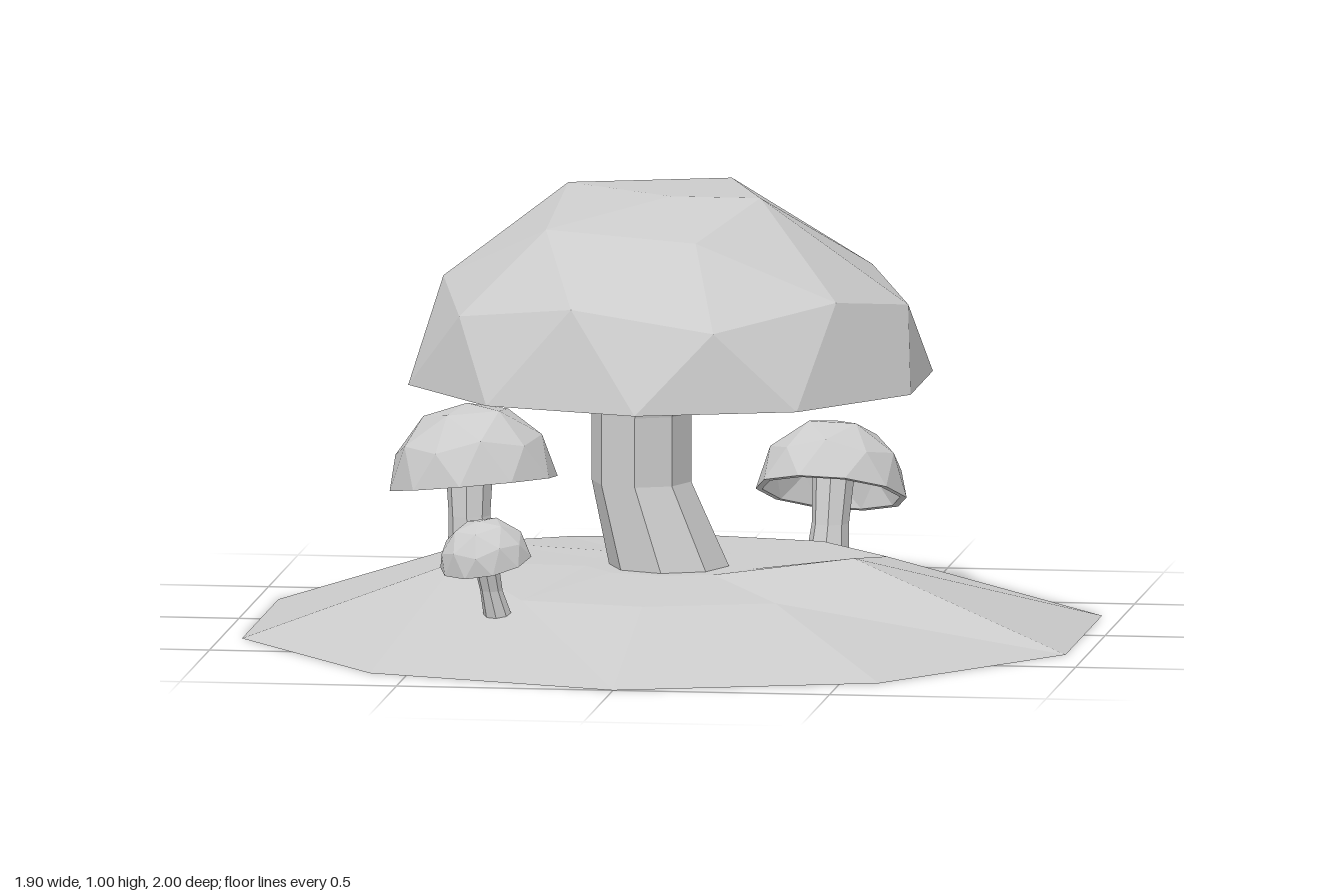
import * as THREE from 'three';

const material = new THREE.MeshStandardMaterial({ color: 0xcccccc, flatShading: true, side: THREE.DoubleSide });

function meshFrom(name, triangles) {
  const geometry = new THREE.BufferGeometry().setFromPoints(triangles);
  geometry.computeVertexNormals();
  const mesh = new THREE.Mesh(geometry, material);
  mesh.name = name;
  return mesh;
}

// point on a circle, angle in degrees from +x towards +z
function polar(r, degrees, y) {
  const a = THREE.MathUtils.degToRad(degrees);
  return new THREE.Vector3(r * Math.cos(a), y, r * Math.sin(a));
}

const ring = (count, fn) => Array.from({ length: count }, (_, i) => fn(i));

// joins two loops of equal length, lower loop first
function band(lower, upper) {
  const out = [];
  lower.forEach((p, i) => {
    const j = (i + 1) % lower.length;
    out.push(p, upper[i], upper[j], p, upper[j], lower[j]);
  });
  return out;
}

// closes a loop with triangles to one point above it
function fan(loop, top) {
  return loop.flatMap((p, i) => [p, top, loop[(i + 1) % loop.length]]);
}

// faceted half-sphere: pole, 5 points, 10 points, 10 rim points
function dome(r, h, crownH, crownR) {
  const pole = new THREE.Vector3(0, h, 0);
  const crown = ring(5, k => polar(r * crownR[k], 72 * k, h * crownH[k]));
  const mid = ring(10, j => j % 2 ? polar(r * 0.86, 36 * j, h * 0.54) : polar(r * 0.9, 36 * j, h * 0.43));
  const rim = ring(10, j => polar(r, 18 + 36 * j, 0));
  const faces = fan(crown, pole);
  for (let k = 0; k < 5; k++) {
    const a = crown[k], m = mid[2 * k], next = mid[2 * k + 1], prev = mid[(2 * k + 9) % 10];
    faces.push(a, m, prev, a, next, m, a, crown[(k + 1) % 5], next);
  }
  for (let j = 0; j < 10; j++) {
    faces.push(mid[j], rim[j], rim[(j + 9) % 10], mid[j], mid[(j + 1) % 10], rim[j]);
  }
  return { faces, rim };
}

// hollow cap: outer dome, inner dome turned inside out, flat rim between
function makeCap({ r, h, innerR, innerH, crownH = Array(5).fill(0.88), crownR = Array(5).fill(0.53) }) {
  const outer = dome(r, h, crownH, crownR);
  const inner = dome(innerR, innerH, Array(5).fill(0.86), Array(5).fill(0.53));
  return meshFrom('cap', [...outer.faces, ...inner.faces.reverse(), ...band(inner.rim, outer.rim)]);
}

// bent eight-sided stem through [x, y, z, radius] sections
function makeStem(sections) {
  const loops = sections.map(([x, y, z, r]) =>
    ring(8, i => polar(r, 45 * i, 0).add(new THREE.Vector3(x, y, z))));
  const faces = [];
  for (let i = 1; i < loops.length; i++) faces.push(...band(loops[i - 1], loops[i]));
  return meshFrom('stem', faces);
}

function makeMushroom(name, { cap, at, axis = [0, 1, 0], spin = 0, stem }) {
  const group = new THREE.Group();
  group.name = name;
  const capMesh = makeCap(cap);
  capMesh.position.set(...at);
  capMesh.quaternion.setFromUnitVectors(new THREE.Vector3(0, 1, 0), new THREE.Vector3(...axis).normalize());
  capMesh.rotateY(spin);
  group.add(capMesh, makeStem(stem));
  return group;
}

// ten-sided mound with an uneven plateau and a flat base
function makeGround() {
  const outer = ring(10, i => polar(1, 18 + 36 * i, 0));
  const heights = [0.2, 0.12, 0.12, 0.115, 0.165, 0.165, 0.145, 0.14, 0.145, 0.15];
  const plateau = ring(10, i => polar(0.5, 18 + 36 * i + (i === 0 ? 8 : 0), heights[i]));
  const middle = ring(10, i => polar(0.2, 18 + 36 * i, 0.147));
  return meshFrom('ground', [
    ...band(outer, plateau),
    ...band(plateau, middle),
    ...fan(middle, new THREE.Vector3(0, 0.147, 0)),
    ...fan(outer, new THREE.Vector3(0, 0, 0)).reverse(),
  ]);
}

export function createModel() {
  const model = new THREE.Group();
  model.name = 'mushrooms';
  model.add(makeGround());

  model.add(makeMushroom('largeMushroom', {
    cap: {
      r: 0.61, h: 0.42, innerR: 0.575, innerH: 0.29,
      crownH: [1, 0.85, 0.87, 1, 1], crownR: [0.34, 0.53, 0.53, 0.53, 0.53],
    },
    at: [0, 0.58, 0.025],
    stem: [
      [0.005, 0.12, 0.022, 0.142], [-0.068, 0.34, 0.018, 0.115],
      [-0.068, 0.5, 0.018, 0.115], [-0.03, 0.68, 0.02, 0.135], [0, 0.86, 0.02, 0.14],
    ],
  }));

  model.add(makeMushroom('leftMediumMushroom', {
    cap: { r: 0.195, h: 0.185, innerR: 0.18, innerH: 0.13 },
    at: [-0.49, 0.288, -0.235], axis: [-0.1, 1, -0.1], spin: 0.6,
    stem: [[-0.485, 0.12, -0.2, 0.06], [-0.495, 0.22, -0.2, 0.048], [-0.5, 0.41, -0.235, 0.06]],
  }));

  model.add(makeMushroom('backMediumMushroom', {
    cap: { r: 0.175, h: 0.17, innerR: 0.16, innerH: 0.12 },
    at: [0.285, 0.227, -0.605], axis: [0.04, 0.93, -0.36], spin: 0.3,
    stem: [[0.28, 0.06, -0.57, 0.052], [0.285, 0.16, -0.592, 0.043], [0.29, 0.33, -0.64, 0.052]],
  }));

  model.add(makeMushroom('smallMushroom', {
    cap: { r: 0.107, h: 0.1, innerR: 0.098, innerH: 0.07 },
    at: [-0.36, 0.218, 0.512], axis: [-0.15, 0.95, 0.2], spin: 0.9,
    stem: [[-0.335, 0.08, 0.475, 0.034], [-0.35, 0.15, 0.492, 0.026], [-0.37, 0.28, 0.525, 0.032]],
  }));

  return model;
}
